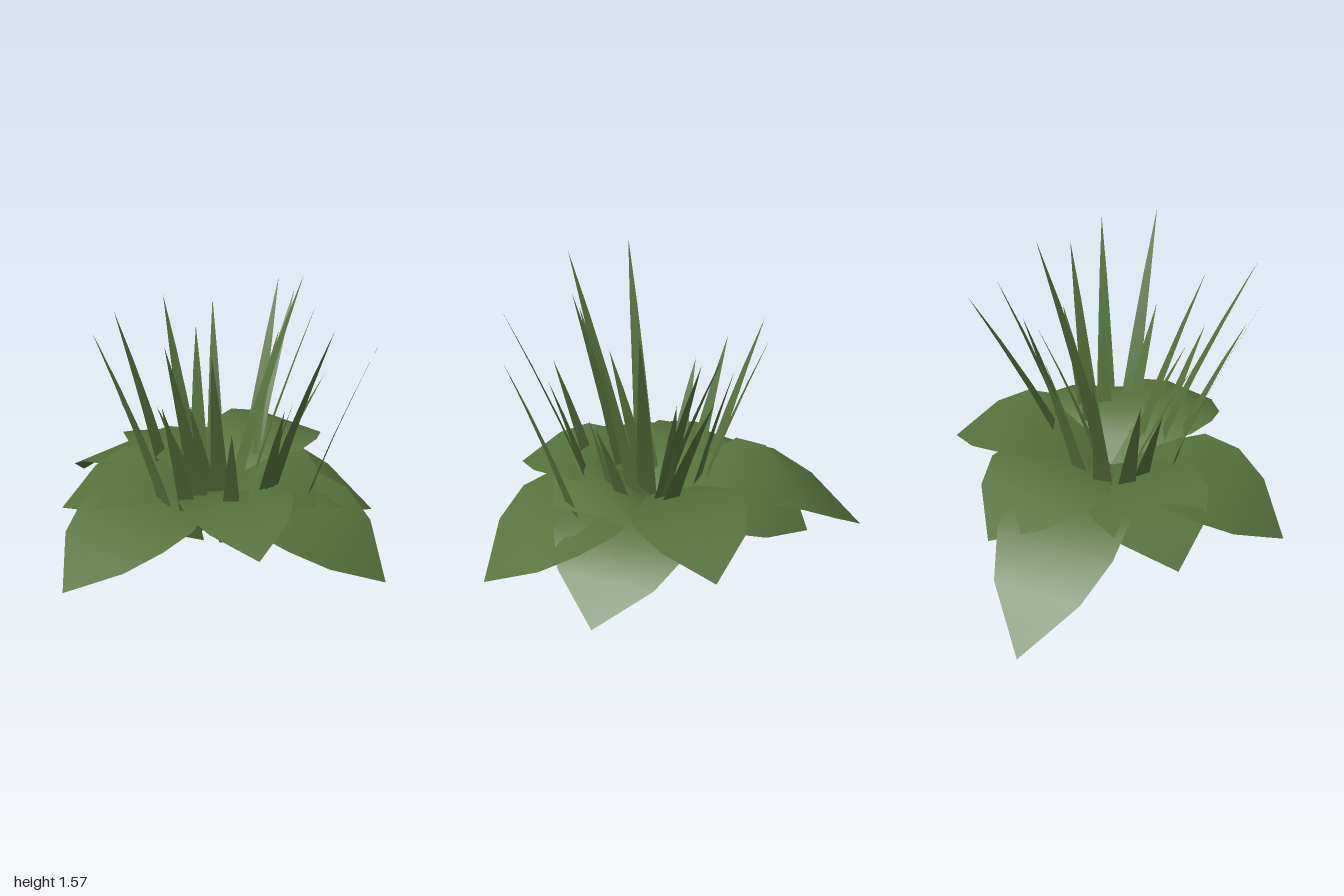
import * as THREE from 'three';

const green = new THREE.MeshStandardMaterial({ color: 0x55733c, side: THREE.DoubleSide });
green.name = 'leafGreen';

// Surface through rows of points, all rows equally long
function surface(rows, name) {
  const n = rows[0].length, index = [];
  for (let i = 0; i < rows.length - 1; i++) {
    for (let j = 0; j < n - 1; j++) {
      const a = i * n + j, b = a + 1, c = a + n, d = c + 1;
      index.push(a, b, c, b, d, c);
    }
  }
  const geo = new THREE.BufferGeometry();
  geo.setAttribute('position', new THREE.Float32BufferAttribute(rows.flat(2), 3));
  geo.setIndex(index);
  geo.computeVertexNormals();
  const mesh = new THREE.Mesh(geo, green);
  mesh.name = name;
  return mesh;
}

// Broad leaf arching in a parabola from the centre to its tip
// outline: distance along, half width
const LEAF = [[0, 0.05], [0.2, 0.2], [0.42, 0.36], [0.62, 0.36], [0.8, 0.265], [1, 0]];
const LEAF_BASE = 0.35;
function broadLeaf([x, y, z, rise, width, roll]) {
  const length = Math.hypot(x, z), px = -z / length, pz = x / length;
  const fall = rise - (y - LEAF_BASE);
  const rows = LEAF.map(([t, w]) => {
    const h = LEAF_BASE + rise * t - fall * t * t;
    return [1, 0, -1].map((s) => {
      const off = s * w * width;
      return [x * t + px * off, h + off * roll, z * t + pz * off];
    });
  });
  return surface(rows, 'broadLeaf');
}

// Narrow pointed blade, leaning outward more towards the tip
function grassBlade([tx, ty, tz, vx, vz]) {
  const bx = vx - 0.14 * (tx - vx), bz = vz - 0.14 * (tz - vz);
  const len = Math.hypot(tx - bx, tz - bz);
  const px = -(tz - bz) / len, pz = (tx - bx) / len;
  const rows = [0, 0.25, 0.5, 0.75, 1].map((s) => {
    const lean = Math.pow(s, 1.2), w = 0.063 * Math.pow(1 - s, 0.8);
    const cx = bx + (tx - bx) * lean, cz = bz + (tz - bz) * lean;
    const y = 0.25 + (ty - 0.25) * s;
    return [[cx + px * w, y, cz + pz * w], [cx - px * w, y, cz - pz * w]];
  });
  return surface(rows, 'grassBlade');
}

// tip x, y, z, initial rise, width scale, sideways roll
const LEAVES = [
  [-1.0, 0, -0.7, 0.68, 0.9, 0],
  [-0.41, 0.28, -0.75, 0.74, 1.08, -0.1],
  [0.4, 0.4, -0.82, 0.85, 0.85, 0],
  [0.86, 0.13, -0.4, 0.62, 1, 0],
  [1.0, 0.12, 0.3, 0.58, 1.02, 0],
  [0.39, 0.43, 0.7, 0.8, 0.8, 0],
  [-0.61, 0.17, 0.82, 0.6, 0.96, 0],
  [-0.83, 0.26, 0.17, 0.65, 0.92, 0],
  [0.6, 0.46, 0.18, 0.75, 1, 0],
];

// tip x, y, z, then x, z where the blade leaves the foliage
const BLADES = [
  [-0.38, 1.34, -0.44, -0.17, -0.2], [-0.18, 1.2, -0.38, -0.12, -0.18],
  [-0.09, 1.36, -0.4, 0, -0.08], [-0.6, 1.31, -0.22, -0.31, -0.11],
  [-0.58, 1.13, 0.02, -0.32, 0.01], [-0.47, 0.98, 0.16, -0.25, 0.1],
  [0.32, 1.34, -0.7, 0.16, -0.24], [0.25, 1.46, -0.55, 0.17, -0.2],
  [0.28, 1.2, -0.42, 0.15, -0.2],
  [0.42, 1.57, -0.31, 0.13, -0.05], [0.52, 1.5, -0.11, 0.22, -0.06],
  [0.57, 1.08, -0.15, 0.28, -0.06], [0.44, 1.0, 0.05, 0.28, 0.03],
  [0.88, 1.45, 0.14, 0.54, 0.09], [0.67, 1.57, 0.41, 0.34, 0.18],
  [0.44, 1.1, 0.36, 0.31, 0.18], [0.22, 1.06, 0.58, 0.17, 0.33],
  [0.11, 1.44, 0.53, 0.08, 0.18], [-0.06, 1.57, 0.75, -0.01, 0.28],
  [-0.09, 1.24, 0.71, -0.05, 0.35], [-0.43, 1.57, 0.66, -0.2, 0.31],
  [-0.2, 1.08, 0.4, -0.07, 0.12], [-0.03, 1.1, 0.4, 0, 0.1],
];

export function createModel() {
  const plant = new THREE.Group();
  plant.name = 'plant';
  const foliage = new THREE.Group();
  foliage.name = 'broadLeaves';
  LEAVES.forEach((l) => foliage.add(broadLeaf(l)));
  const grass = new THREE.Group();
  grass.name = 'grassTuft';
  BLADES.forEach((b) => grass.add(grassBlade(b)));
  plant.add(foliage, grass);
  return plant;
}
